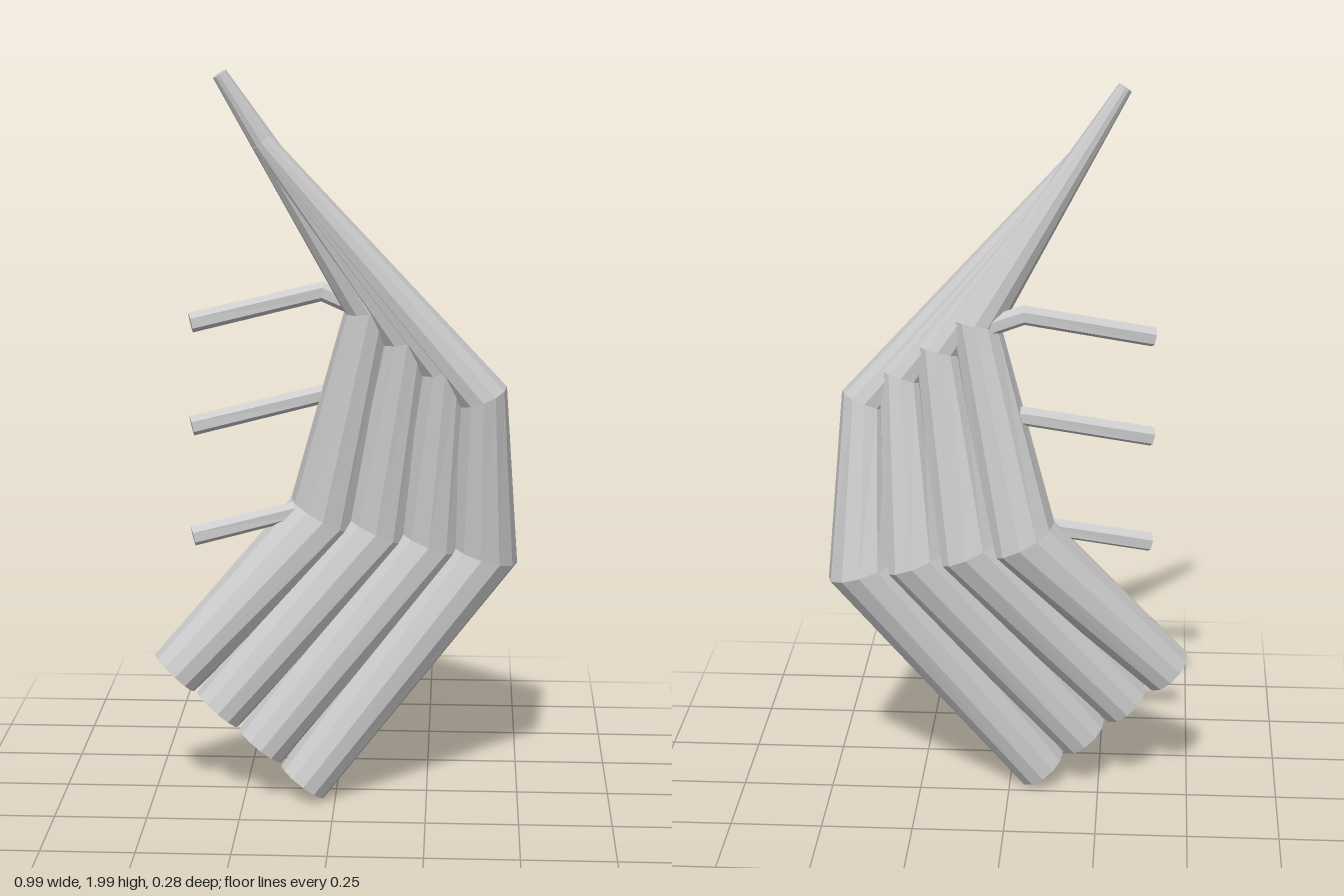
import * as THREE from 'three';

const material = new THREE.MeshStandardMaterial({ color: 0xcccccc, flatShading: true });
const Z = new THREE.Vector3(0, 0, 1);

// Closed bent pipe through [x, y, z, radius] stations, with mitred joints
function bentPipe(name, stations, sides) {
  const centres = stations.map(([x, y, z]) => new THREE.Vector3(x, y, z));
  const last = stations.length - 1;
  const positions = [];
  const index = [];
  centres.forEach((c, i) => {
    const t = new THREE.Vector3();
    if (i > 0) t.add(c.clone().sub(centres[i - 1]).normalize());
    if (i < last) t.add(centres[i + 1].clone().sub(c).normalize());
    t.normalize();
    const u = t.clone().cross(Z).normalize();
    const w = t.clone().cross(u);
    for (let j = 0; j < sides; j++) {
      const a = (j / sides) * Math.PI * 2;
      const p = c.clone()
        .addScaledVector(u, Math.cos(a) * stations[i][3])
        .addScaledVector(w, Math.sin(a) * stations[i][3]);
      positions.push(p.x, p.y, p.z);
    }
  });
  const start = positions.length / 3;
  for (const c of [centres[0], centres[last]]) positions.push(c.x, c.y, c.z);
  for (let j = 0; j < sides; j++) {
    const k = (j + 1) % sides;
    for (let i = 0; i < last; i++) {
      const a = i * sides + j, b = i * sides + k;
      index.push(a, b, b + sides, a, b + sides, a + sides);
    }
    // End caps
    index.push(start, k, j, start + 1, last * sides + j, last * sides + k);
  }
  const geometry = new THREE.BufferGeometry();
  geometry.setAttribute('position', new THREE.Float32BufferAttribute(positions, 3));
  geometry.setIndex(index);
  geometry.computeVertexNormals();
  const mesh = new THREE.Mesh(geometry, material);
  mesh.name = name;
  return mesh;
}

export function createModel() {
  const model = new THREE.Group();
  model.name = 'pipeCluster';

  // Four side-by-side bent pipes that taper together into one long spike
  const mix = THREE.MathUtils.lerp;
  for (let n = 0; n < 4; n++) {
    const f = n / 3;
    const tip = n === 0 ? [-0.297, 1.99, 0.11, 0.02] : [-0.19, 1.815, 0.098, 0.03];
    model.add(bentPipe(`bentPipe${n + 1}`, [
      [mix(-0.44, -0.09, f), mix(0.36, 0.053, f), 0.068, 0.074],
      [mix(-0.035, 0.395, f), mix(0.785, 0.69, f), -0.035, 0.102],
      [mix(0.09, 0.39, f), mix(1.37, 1.14, f), mix(0.03, 0.055, f), 0.07],
      tip,
    ], 12));
  }

  // Three thin kinked pegs on the right side
  [1.33, 1.05, 0.745].forEach((y, i) => {
    model.add(bentPipe(`peg${i + 1}`, [
      [-0.385, y, 0.06, 0.027],
      [-0.04, y + 0.075, -0.012, 0.027],
      [0.06, y + 0.035, 0.0, 0.027],
    ], 6));
  });

  return model;
}
